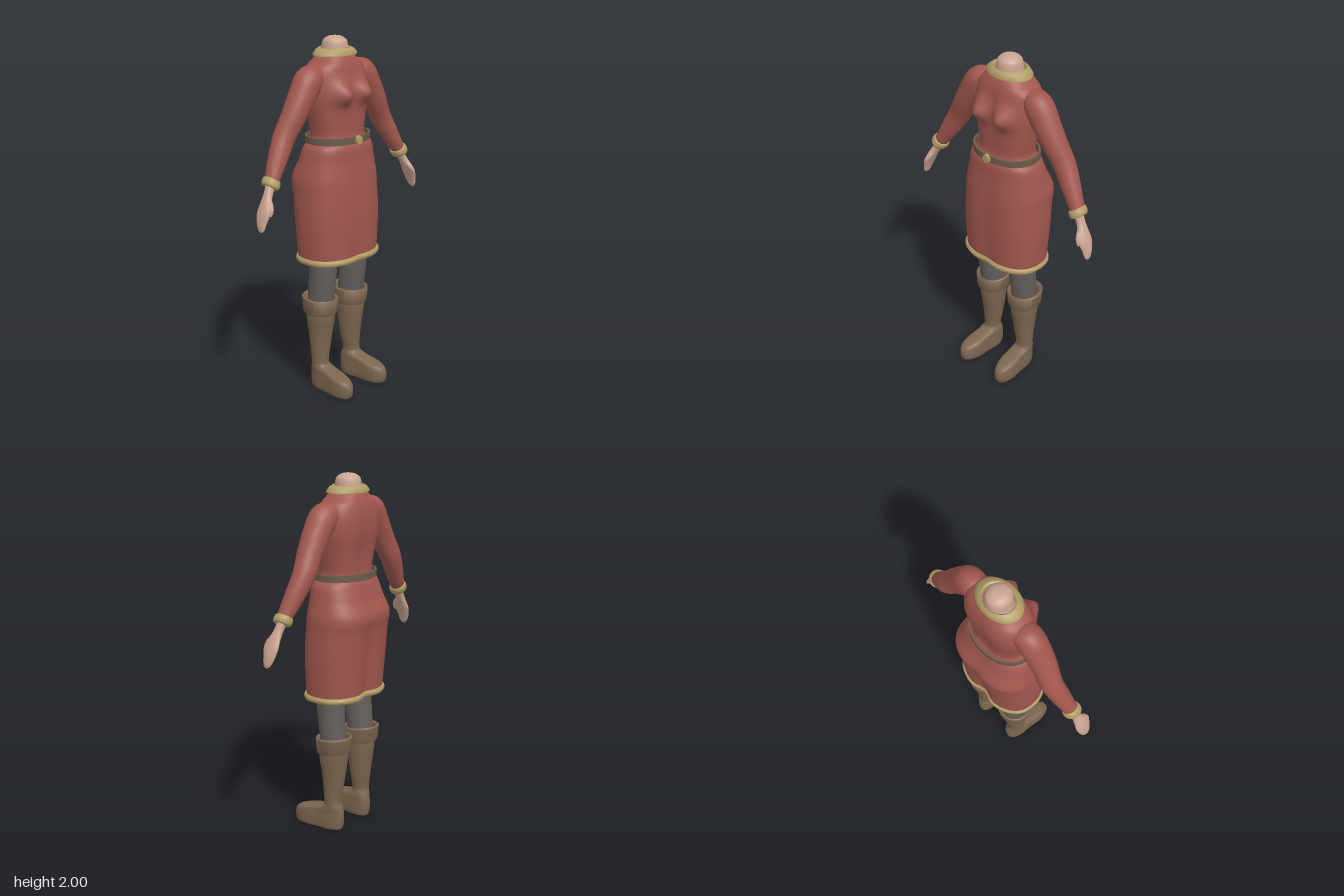
import * as THREE from 'three';
import { toCreasedNormals } from 'three/addons/utils/BufferGeometryUtils.js';

const mat = (name, color, side = THREE.FrontSide) => {
  const m = new THREE.MeshStandardMaterial({ color, side });
  m.name = name;
  return m;
};

// Catmull-Rom interpolation between rows of numbers
function smooth(rows, steps) {
  const out = [];
  for (let i = 0; i < rows.length - 1; i++) {
    const a = rows[Math.max(i - 1, 0)], b = rows[i], c = rows[i + 1], d = rows[Math.min(i + 2, rows.length - 1)];
    for (let k = 0; k < steps; k++) {
      const t = k / steps;
      out.push(b.map((p, j) => p + 0.5 * t * (c[j] - a[j] + t * (2 * a[j] - 5 * p + 4 * c[j] - d[j] + t * (3 * (p - c[j]) + d[j] - a[j])))));
    }
  }
  out.push(rows[rows.length - 1]);
  return out;
}

// Skin a list of closed rings of points, optionally capping both ends
function skin(rings, caps = false, crease = 0.9) {
  const n = rings[0].length, m = rings.length, pos = [], idx = [];
  rings.forEach(r => r.forEach(p => pos.push(...p)));
  for (let i = 0; i < m - 1; i++) for (let j = 0; j < n; j++) {
    const a = i * n + j, b = i * n + (j + 1) % n;
    idx.push(a, b, a + n, b, b + n, a + n);
  }
  if (caps) [0, m - 1].forEach((i, end) => {
    const c = pos.length / 3;
    pos.push(...[0, 1, 2].map(k => rings[i].reduce((s, p) => s + p[k], 0) / n));
    for (let j = 0; j < n; j++) {
      const a = i * n + j, b = i * n + (j + 1) % n;
      idx.push(...(end ? [a, b, c] : [b, a, c]));
    }
  });
  const g = new THREE.BufferGeometry();
  g.setAttribute('position', new THREE.Float32BufferAttribute(pos, 3));
  g.setIndex(idx);
  return toCreasedNormals(g, crease);
}

const spow = (v, p) => Math.sign(v) * Math.abs(v) ** p;

// Horizontal ring from [y, centreX, halfWidth, zFront, zBack, dent]
function level([y, cx, hw, zf, zb, dent = 0], n, p = 1) {
  return Array.from({ length: n }, (_, j) => {
    const t = j / n * Math.PI * 2;
    const x = hw * spow(Math.cos(t), p), s = spow(Math.sin(t), p);
    const d = dent * Math.exp(-((x / 0.055) ** 2)) * (s > 0 ? 0.4 : 1);
    return [cx + x, y, (zf + zb) / 2 + (zf - zb) / 2 * s * (1 - d)];
  });
}

// Limb along a path: rows [x, y, z, radius in the xy plane, radius in z]
function limb(rows, side, steps = 5, n = 20) {
  const r = smooth(rows, steps).map(([x, ...q]) => [x * side, ...q]);
  return skin(r.map(([x, y, z, ru, rz], i) => {
    const a = r[Math.max(i - 1, 0)], b = r[Math.min(i + 1, r.length - 1)];
    const l = Math.hypot(b[0] - a[0], b[1] - a[1]) || 1;
    const ux = -(b[1] - a[1]) / l, uy = (b[0] - a[0]) / l;
    return Array.from({ length: n }, (_, j) => {
      const t = j / n * Math.PI * 2, c = Math.cos(t) * ru;
      return [x + ux * c, y + uy * c, z + Math.sin(t) * rz];
    });
  }), true);
}

export function createModel() {
  const root = new THREE.Group();
  const cloth = mat('red cloth', 0xa1574e, THREE.DoubleSide);
  const trim = mat('tan trim', 0xb29c66);
  const flesh = mat('skin', 0xcaa490);
  const leather = mat('boot leather', 0x7c6650);
  const beltMat = mat('belt leather', 0x6c5b49);
  const grey = mat('grey trousers', 0x655f5c);
  const add = (name, geo, material, parent = root) => {
    const m = new THREE.Mesh(geo, material);
    m.name = name;
    parent.add(m);
    return m;
  };

  // Dress: one shell from collar to hem, with bust bulges and a dented back
  const dressRows = [
    [1.91, 0, 0.09, 0.045, -0.12, 0], [1.88, 0, 0.125, 0.065, -0.135, 0],
    [1.84, 0, 0.175, 0.08, -0.152, 0.02], [1.77, 0, 0.195, 0.09, -0.165, 0.05],
    [1.68, 0, 0.195, 0.1, -0.163, 0.07], [1.58, 0, 0.178, 0.1, -0.145, 0.08],
    [1.48, 0, 0.163, 0.098, -0.135, 0.07], [1.445, 0, 0.178, 0.11, -0.14, 0.05],
    [1.41, 0, 0.212, 0.128, -0.155, 0.02], [1.33, 0, 0.232, 0.135, -0.185, 0.04],
    [1.24, 0, 0.254, 0.147, -0.225, 0.08], [1.15, 0, 0.256, 0.153, -0.212, 0.1],
    [1.0, 0, 0.26, 0.157, -0.195, 0.13], [0.785, 0, 0.248, 0.152, -0.178, 0.18]];
  const bust = ([x, y, z]) => {
    if (z < 0) return [x, y, z];
    const sy = y > 1.7 ? 0.065 : 0.05;
    return [x, y, z + 0.062 * Math.exp(-(((Math.abs(x) - 0.08) / 0.055) ** 2) - ((y - 1.7) / sy) ** 2)];
  };
  add('dress', skin(smooth(dressRows, 6).map(r => level(r, 72, 0.82).map(bust)), false, 1.3), cloth);

  // Rolled hem following the skirt edge
  const hem = [];
  for (let k = 0; k <= 10; k++) {
    const a = Math.PI / 2 - k / 10 * Math.PI * 2, o = 0.013 * Math.cos(a);
    hem.push(level([0.785 + 0.018 * Math.sin(a), 0, 0.248 + o, 0.152 + o, -0.178 - o, 0.18], 72, 0.82));
  }
  add('hemTrim', skin(hem), trim);

  // Neck stump and sloping collar
  const neck = [[2, 0, 0.012, -0.022, -0.046], [1.994, 0, 0.04, 0.005, -0.075], [1.975, 0, 0.063, 0.03, -0.1],
    [1.95, 0, 0.07, 0.036, -0.107], [1.92, 0, 0.074, 0.038, -0.11], [1.88, 0, 0.085, 0.04, -0.115]];
  add('neck', skin(smooth(neck, 4).map(r => level(r, 32)), true), flesh);
  const collar = [[1.9, 0, 0.085, 0.035, -0.112], [1.932, 0, 0.086, 0.036, -0.112], [1.938, 0, 0.095, 0.045, -0.118],
    [1.928, 0, 0.115, 0.059, -0.128], [1.908, 0, 0.138, 0.068, -0.135], [1.9, 0, 0.138, 0.068, -0.135],
    [1.895, 0, 0.1, 0.04, -0.115]];
  add('collar', skin(collar.map(r => level(r, 40))), trim);

  // Belt: a loose band standing clear of the waist at the sides
  const outer = [0, 0.2, 0.138, -0.166], inner = [0, 0.188, 0.126, -0.154];
  const belt = [[1.473, ...outer], [1.436, ...outer], [1.436, ...inner], [1.473, ...inner], [1.473, ...outer]];
  add('belt', skin(belt.map(r => level(r, 56, 0.95))), beltMat);
  const buckle = add('buckle', new THREE.CylinderGeometry(0.024, 0.027, 0.016, 8), trim);
  buckle.rotation.set(Math.PI / 2, Math.PI / 8, 0);
  buckle.position.set(0, 1.453, 0.141);

  for (const s of [1, -1]) {
    const side = s > 0 ? 'left' : 'right';

    // Arm: sleeve, wrist band, hand and thumb
    const arm = new THREE.Group();
    arm.name = side + 'Arm';
    root.add(arm);
    add('sleeve', limb([
      [0.135, 1.815, -0.035, 0.03, 0.04], [0.165, 1.805, -0.033, 0.062, 0.068], [0.212, 1.775, -0.03, 0.081, 0.077],
      [0.262, 1.705, -0.028, 0.076, 0.074], [0.325, 1.605, -0.03, 0.068, 0.067], [0.385, 1.505, -0.04, 0.062, 0.06],
      [0.445, 1.405, -0.028, 0.054, 0.053], [0.518, 1.285, -0.008, 0.037, 0.04]], s, 6, 28), cloth, arm);
    add('wristBand', limb([
      [0.505, 1.307, -0.01, 0.034, 0.036], [0.507, 1.304, -0.01, 0.045, 0.048], [0.517, 1.287, -0.008, 0.05, 0.052],
      [0.527, 1.27, -0.006, 0.045, 0.048], [0.529, 1.267, -0.006, 0.03, 0.032]], s, 3, 24), trim, arm);
    add('hand', limb([
      [0.515, 1.29, -0.008, 0.026, 0.028], [0.545, 1.235, -0.001, 0.023, 0.026], [0.57, 1.19, 0.008, 0.021, 0.038],
      [0.592, 1.145, 0.012, 0.018, 0.046], [0.608, 1.1, 0.013, 0.014, 0.036], [0.617, 1.065, 0.017, 0.01, 0.024],
      [0.621, 1.05, 0.019, 0.004, 0.01]], s), flesh, arm);
    add('thumb', limb([
      [0.55, 1.22, 0.012, 0.011, 0.012], [0.565, 1.19, 0.035, 0.015, 0.018], [0.577, 1.16, 0.05, 0.013, 0.016],
      [0.585, 1.135, 0.057, 0.005, 0.007]], s, 4, 12), flesh, arm);

    // Leg: trousers, boot and turned-down boot cuff
    const leg = new THREE.Group();
    leg.name = side + 'Leg';
    root.add(leg);
    const x = 0.125 * s, f = 0.132 * s;
    const thigh = [[1.1, x * 0.95, 0.1, 0.085, -0.11], [0.8, x, 0.082, 0.072, -0.09],
      [0.68, x, 0.076, 0.066, -0.092], [0.5, x, 0.07, 0.042, -0.108]];
    add('trouserLeg', skin(smooth(thigh, 5).map(r => level(r, 28)), true), grey, leg);

    const shaft = [[0.5, x, 0.08, 0.052, -0.118], [0.42, x, 0.076, 0.05, -0.112], [0.33, x, 0.065, 0.036, -0.1],
      [0.24, x * 1.02, 0.057, 0.025, -0.086], [0.165, f, 0.049, 0.018, -0.076], [0.14, f, 0.05, 0.028, -0.079],
      [0.125, f, 0.053, 0.075, -0.084], [0.105, f, 0.056, 0.165, -0.089], [0.085, f, 0.057, 0.208, -0.092],
      [0.05, f, 0.058, 0.222, -0.092], [0.015, f, 0.056, 0.219, -0.088], [0, f, 0.052, 0.212, -0.084]];
    // feet point slightly outward and narrow at the instep
    const foot = ([px, y, z]) => {
      if (y > 0.16) return [px, y, z];
      const k = Math.min(1, (0.16 - y) / 0.06), pinch = 1 - 0.14 * k * Math.exp(-(((z - 0.05) / 0.05) ** 2));
      return [f + (px - f) * pinch + s * k * (z - 0.03) * 0.07, y, z];
    };
    add('boot', skin(smooth(shaft, 4).map(r => level(r, 40, r[0] < 0.14 ? 0.8 : 0.95).map(foot)), true), leather, leg);

    const cuff = [[0.5, x, 0.076, 0.046, -0.112], [0.545, x, 0.08, 0.052, -0.118], [0.552, x, 0.092, 0.064, -0.13],
      [0.545, x, 0.1, 0.07, -0.137], [0.468, x, 0.094, 0.063, -0.13], [0.46, x, 0.09, 0.059, -0.126], [0.458, x, 0.07, 0.045, -0.105]];
    // cuff rises a little toward the back
    const tilt = ([px, y, z]) => [px, y - (z + 0.03) * 0.07, z];
    add('bootCuff', skin(cuff.map(r => level(r, 36, 0.95).map(tilt))), leather, leg);
  }
  return root;
}
